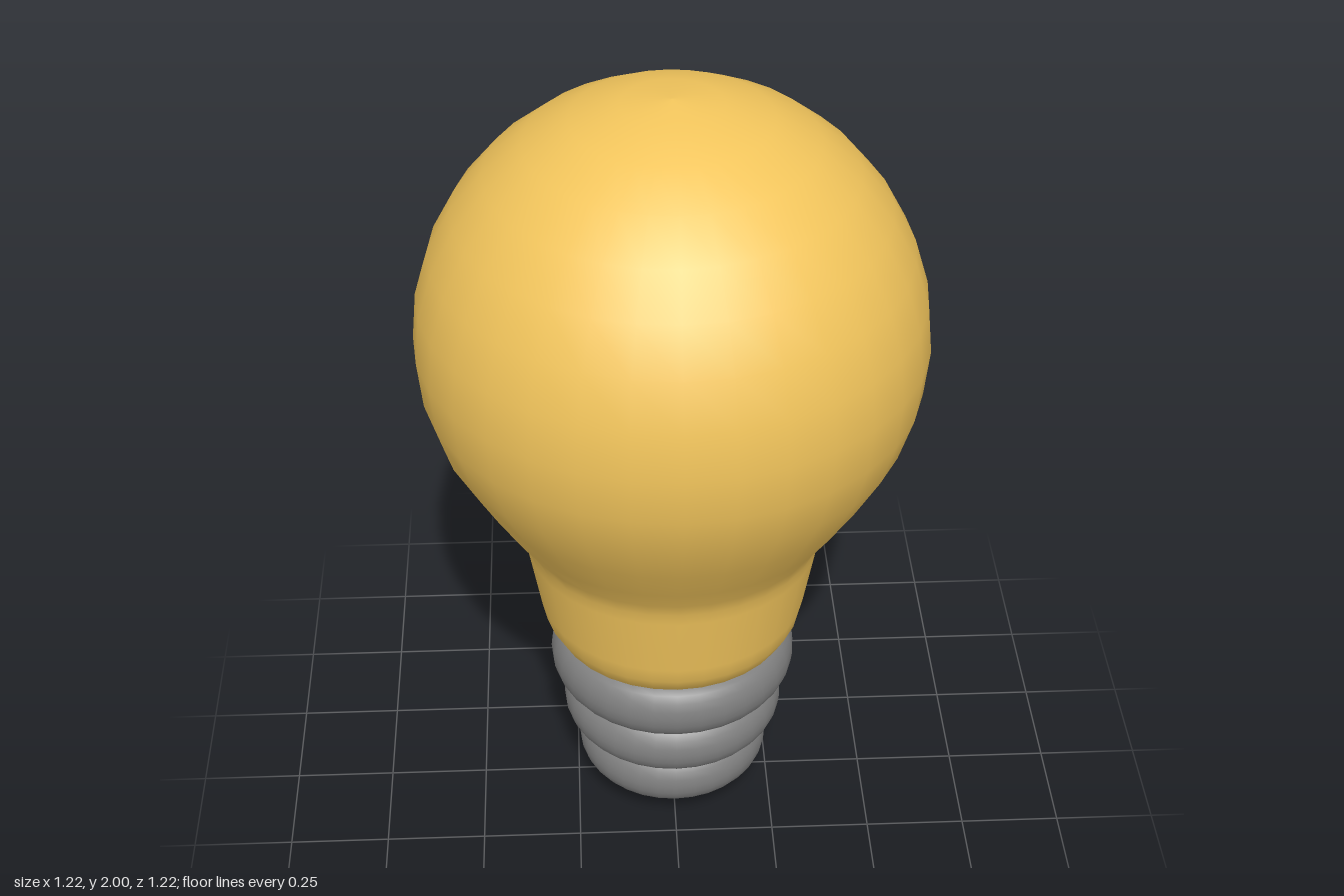
import * as THREE from 'three';

const SIDES = 32;

export function createModel() {
  const group = new THREE.Group();
  const glass = new THREE.MeshStandardMaterial({ color: 0xf2c55c });
  const metal = new THREE.MeshStandardMaterial({ color: 0x808080 });

  // Profiles run from bottom to top so the faces point outwards
  const lathe = (name, points, material) => {
    const profile = points.map(([r, y]) => new THREE.Vector2(r, y));
    const mesh = new THREE.Mesh(new THREE.LatheGeometry(profile, SIDES), material);
    mesh.name = name;
    group.add(mesh);
  };

  // Glass bulb: tapered neck flowing into a sphere
  const bulb = [
    [0, 0.51], [0.27, 0.51], [0.30, 0.53], [0.325, 0.575], [0.335, 0.62],
    [0.365, 0.79], [0.372, 0.825], [0.388, 0.865], [0.435, 0.935], [0.5, 1.04],
  ];
  for (let i = -2; i <= 8; i++) {
    const a = (i / 8) * Math.PI / 2;
    bulb.push([i === 8 ? 0 : 0.61 * Math.cos(a), 1.39 + 0.61 * Math.sin(a)]);
  }
  lathe('bulb', bulb, glass);

  // Screw base: three rounded rings, narrowing downwards
  const rings = [[0.245, 0.145], [0.282, 0.285], [0.312, 0.435]];
  rings.forEach(([radius, y], n) => {
    const half = n === 2 ? 0.077 : 0.072;
    const points = [[0, y - half]];
    for (let i = 0; i <= 10; i++) {
      const a = (i / 10 - 0.5) * Math.PI;
      points.push([radius - 0.055 + 0.055 * Math.cos(a), y + half * Math.sin(a)]);
    }
    points.push([0, y + half]);
    lathe('screwRing' + (n + 1), points, metal);
  });

  // Contact tip under the base
  lathe('contactTip', [
    [0, 0], [0.05, 0.003], [0.1, 0.014], [0.14, 0.033], [0.17, 0.06], [0.18, 0.08],
  ], metal);

  return group;
}
